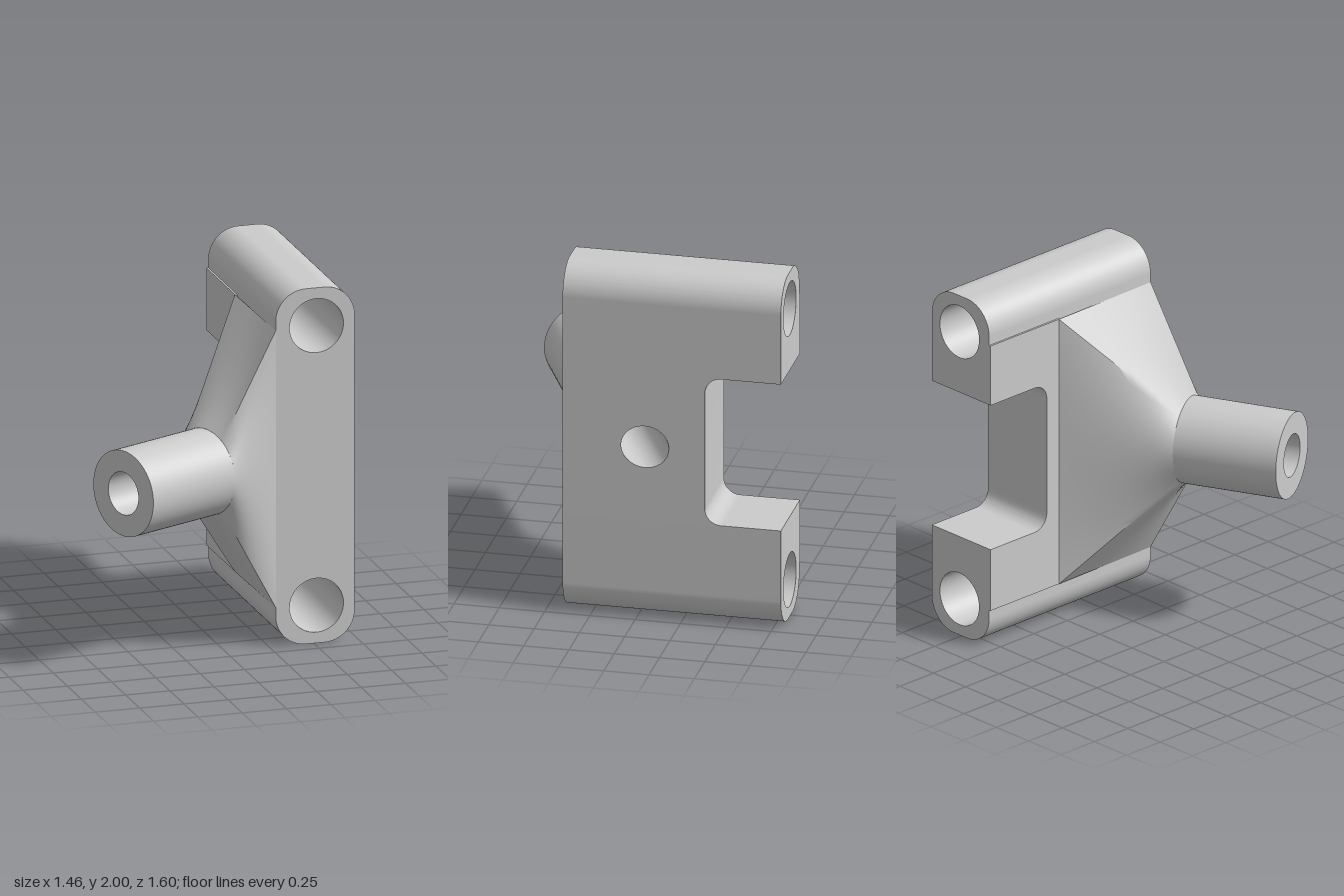
import * as THREE from 'three';
import { toCreasedNormals } from 'three/addons/utils/BufferGeometryUtils.js';

const X0 = 0.285, X1 = 0.73, FRONT = 0.405, BACK = -0.8;   // block extents
const NOTCH_Z = -0.38, NOTCH_LOW = 0.58, NOTCH_HIGH = 1.43, FILLET = 0.09;

export function createModel() {
  const group = new THREE.Group();
  const material = new THREE.MeshStandardMaterial({ color: 0xcccccc, side: THREE.DoubleSide });
  const add = (name, geometry) => {
    const mesh = new THREE.Mesh(toCreasedNormals(geometry, Math.PI / 5), material);
    mesh.name = name;
    group.add(mesh);
    return mesh;
  };

  // Extrude a (-z, y) outline along x
  const extrudeX = (shape, from, to) => {
    const g = new THREE.ExtrudeGeometry(shape, { depth: to - from, bevelEnabled: false, curveSegments: 16 });
    return g.rotateY(Math.PI / 2).translate(from, 0, 0);
  };

  // Upper and lower arms: rounded bars with a bore along z
  const arm = (name, upper) => {
    const Y = (y) => (upper ? y : 2 - y);
    const inner = upper ? NOTCH_HIGH : 2 - NOTCH_LOW, r = 0.17;
    const s = new THREE.Shape();
    s.moveTo(X0, Y(inner));
    s.lineTo(X1, Y(inner));
    s.lineTo(X1, Y(2 - r));
    s.absarc(X1 - r, Y(2 - r), r, 0, upper ? Math.PI / 2 : -Math.PI / 2, !upper);
    s.absarc(X0 + r, Y(2 - r), r, upper ? Math.PI / 2 : -Math.PI / 2, upper ? Math.PI : -Math.PI, !upper);
    s.lineTo(X0, Y(inner));
    const hole = new THREE.Path();
    hole.absarc(0.515, Y(1.787), 0.152, 0, Math.PI * 2, true);
    s.holes.push(hole);
    const g = new THREE.ExtrudeGeometry(s, { depth: FRONT - BACK, bevelEnabled: false, curveSegments: 24 });
    add(name, g.translate(0, 0, BACK));
  };
  arm('upperArm', true);
  arm('lowerArm', false);

  // Rounded end of the notch, drawn after the outline reaches its lower corner
  const notchEdge = (s) => {
    const f = FILLET, n = -NOTCH_Z;
    s.lineTo(n + f, NOTCH_LOW);
    s.absarc(n + f, NOTCH_LOW + f, f, -Math.PI / 2, -Math.PI, true);
    s.lineTo(n, NOTCH_HIGH - f);
    s.absarc(n + f, NOTCH_HIGH - f, f, Math.PI, Math.PI / 2, true);
  };

  // Middle of the block: notch wall, front wall and the bored right face
  const wall = new THREE.Shape();
  wall.moveTo(0.2, NOTCH_LOW);
  notchEdge(wall);
  wall.lineTo(0.2, NOTCH_HIGH);
  add('notchWall', extrudeX(wall, X0, X1));

  const midH = NOTCH_HIGH - NOTCH_LOW, midY = (NOTCH_HIGH + NOTCH_LOW) / 2;
  add('frontWall', new THREE.BoxGeometry(X1 - X0, midH, 0.105)
    .translate((X0 + X1) / 2, midY, FRONT - 0.0525));

  const face = new THREE.Shape();
  face.moveTo(-0.3, NOTCH_LOW);
  face.lineTo(0.2, NOTCH_LOW);
  face.lineTo(0.2, NOTCH_HIGH);
  face.lineTo(-0.3, NOTCH_HIGH);
  const mouth = new THREE.Path();
  mouth.absellipse(0.05, 1, 0.132, 0.12, 0, Math.PI * 2, true);
  face.holes.push(mouth);
  add('boredFace', new THREE.ShapeGeometry(face, 32).rotateY(Math.PI / 2).translate(X1, 0, 0));

  // Slightly raised pad on the left-hand face, behind the flare
  const pad = new THREE.Shape();
  pad.moveTo(0.28, 0.22);
  pad.lineTo(-BACK, 0.22);
  pad.lineTo(-BACK, NOTCH_LOW);
  notchEdge(pad);
  pad.lineTo(-BACK, NOTCH_HIGH);
  pad.lineTo(-BACK, 1.78);
  pad.lineTo(0.28, 1.78);
  add('sidePad', extrudeX(pad, 0.274, X0 + 0.002));

  // Slanted tube: bore, mouth ring and outside; the bore runs on to the far face
  const axis = new THREE.Vector3(0.907, 0, -0.42).normalize();
  const start = new THREE.Vector3(-0.63, 1, 0.58);
  const length = 0.595, radius = 0.24;
  const profile = [[0.12, 1.4], [0.12, 0], [radius, 0], [radius, length]].map((p) => new THREE.Vector2(...p));
  const tube = new THREE.LatheGeometry(profile, 64);
  tube.applyQuaternion(new THREE.Quaternion().setFromUnitVectors(new THREE.Vector3(0, 1, 0), axis));
  tube.translate(start.x, start.y, start.z);
  const pos = tube.attributes.position, v = new THREE.Vector3();
  for (let i = 0; i < pos.count; i += profile.length) {
    v.fromBufferAttribute(pos, i);
    v.addScaledVector(axis, (X1 - v.x) / axis.x);
    pos.setXYZ(i, v.x, v.y, v.z);
  }
  add('tube', tube);

  // Flare: ruled loft from the tube's circle to a rectangle on the block
  const centre = start.clone().addScaledVector(axis, length);
  const across = new THREE.Vector3(-axis.z, 0, axis.x);
  const c = THREE.MathUtils.degToRad(55), zBack = -0.29, xBack = 0.274;
  const angles = [-c, c, Math.PI - c, Math.PI + c, 2 * Math.PI - c];
  const corners = [[X0, 0.22, FRONT], [X0, 1.78, FRONT], [xBack, 1.78, zBack], [xBack, 0.22, zBack]]
    .map((p) => new THREE.Vector3(...p));
  const perSide = 20, rows = 10, points = [], index = [];
  for (let u = 0; u <= 4 * perSide; u++) {
    const side = Math.min(3, Math.floor(u / perSide)), t = u / perSide - side;
    const a = THREE.MathUtils.lerp(angles[side], angles[side + 1], t);
    const onCircle = centre.clone().addScaledVector(across, radius * Math.cos(a));
    onCircle.y += radius * Math.sin(a);
    const onBlock = corners[side].clone().lerp(corners[(side + 1) % 4], t);
    for (let r = 0; r <= rows; r++) {
      points.push(...onCircle.clone().lerp(onBlock, r / rows).toArray());
      if (u < 4 * perSide && r < rows) {
        const i = u * (rows + 1) + r, j = i + rows + 1;
        index.push(i, i + 1, j, j, i + 1, j + 1);
      }
    }
  }
  const flare = new THREE.BufferGeometry();
  flare.setAttribute('position', new THREE.Float32BufferAttribute(points, 3));
  flare.setIndex(index);
  add('flare', flare);

  return group;
}
